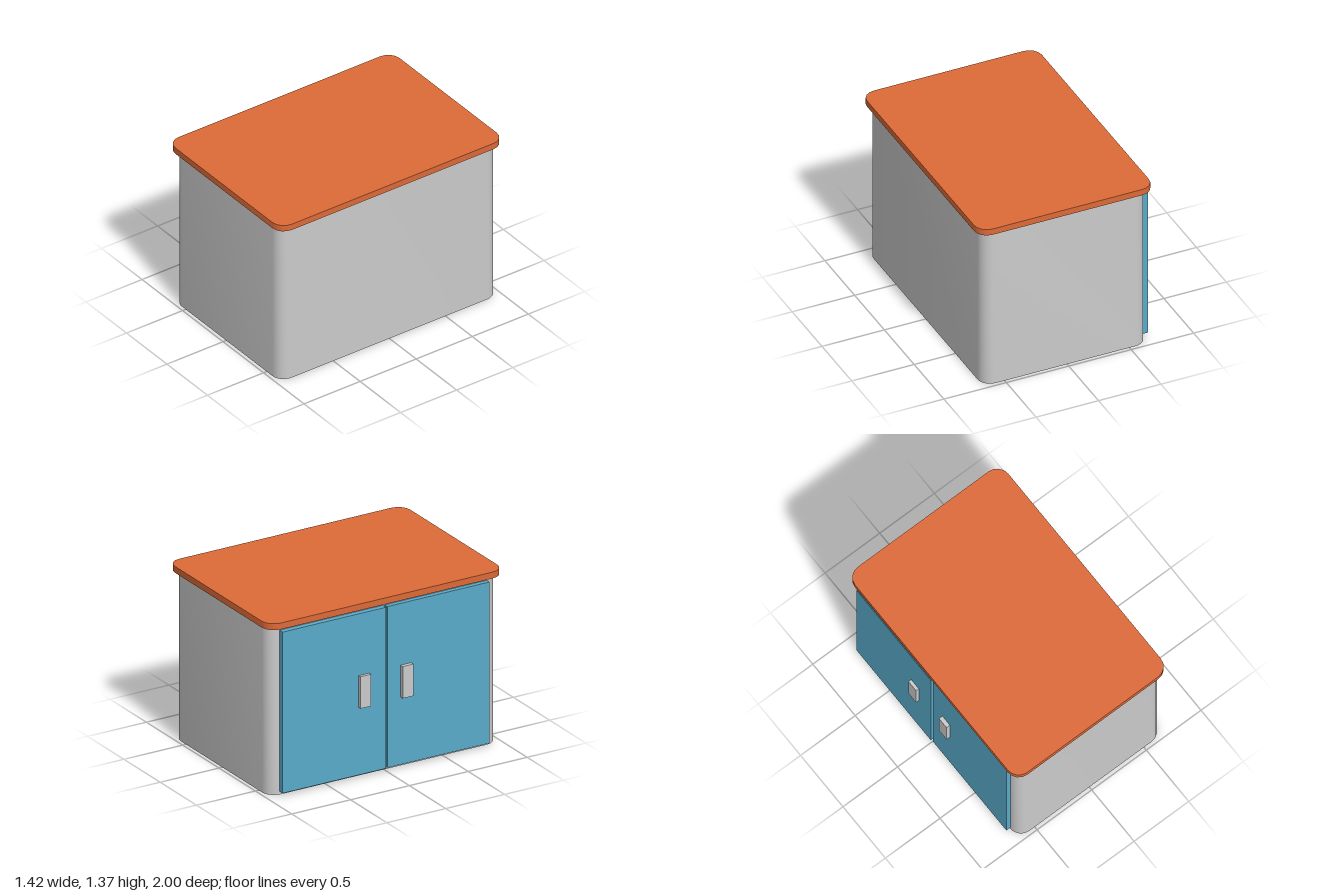
import * as THREE from 'three';
import { toCreasedNormals } from 'three/addons/utils/BufferGeometryUtils.js';

const grey = new THREE.MeshStandardMaterial({ color: 0xcccccc });
const orange = new THREE.MeshStandardMaterial({ color: 0xdd6a38 });
const blue = new THREE.MeshStandardMaterial({ color: 0x5aabca });

// Upright slab with rounded vertical corners, smooth around the corners
function roundedSlab(name, x0, x1, halfZ, y0, y1, radius, segments, material) {
  const shape = new THREE.Shape();
  const a = x0 + radius, b = x1 - radius, z = halfZ - radius;
  shape.absarc(b, -z, radius, -Math.PI / 2, 0);
  shape.absarc(b, z, radius, 0, Math.PI / 2);
  shape.absarc(a, z, radius, Math.PI / 2, Math.PI);
  shape.absarc(a, -z, radius, Math.PI, Math.PI * 1.5);
  shape.closePath();
  const geometry = new THREE.ExtrudeGeometry(shape, {
    depth: y1 - y0, bevelEnabled: false, curveSegments: segments,
  });
  geometry.rotateX(-Math.PI / 2).translate(0, y0, 0);
  const mesh = new THREE.Mesh(toCreasedNormals(geometry, Math.PI * 0.28), material);
  mesh.name = name;
  return mesh;
}

// Box given by its limits on each axis
function box(name, [x0, x1], [y0, y1], [z0, z1], material) {
  const mesh = new THREE.Mesh(new THREE.BoxGeometry(x1 - x0, y1 - y0, z1 - z0), material);
  mesh.position.set((x0 + x1) / 2, (y0 + y1) / 2, (z0 + z1) / 2);
  mesh.name = name;
  return mesh;
}

export function createModel() {
  const model = new THREE.Group();
  model.name = 'cabinet';

  // Cabinet body and overhanging worktop
  model.add(roundedSlab('body', -0.647, 0.67, 0.972, 0, 1.315, 0.1, 3, grey));
  model.add(roundedSlab('worktop', -0.69, 0.71, 1, 1.315, 1.365, 0.1, 2, orange));

  // Pair of doors on the -x side, the rear one standing slightly prouder
  const doorY = [0.025, 1.29];
  model.add(box('rearDoor', [-0.69, -0.645], doorY, [-0.885, -0.008], blue));
  model.add(box('frontDoor', [-0.684, -0.64], doorY, [0.008, 0.875], blue));

  // Upright handles beside the gap between the doors
  const handleX = [-0.715, -0.684], handleY = [0.555, 0.805];
  model.add(box('rearHandle', handleX, handleY, [-0.24, -0.15], grey));
  model.add(box('frontHandle', handleX, handleY, [0.12, 0.21], grey));

  return model;
}
